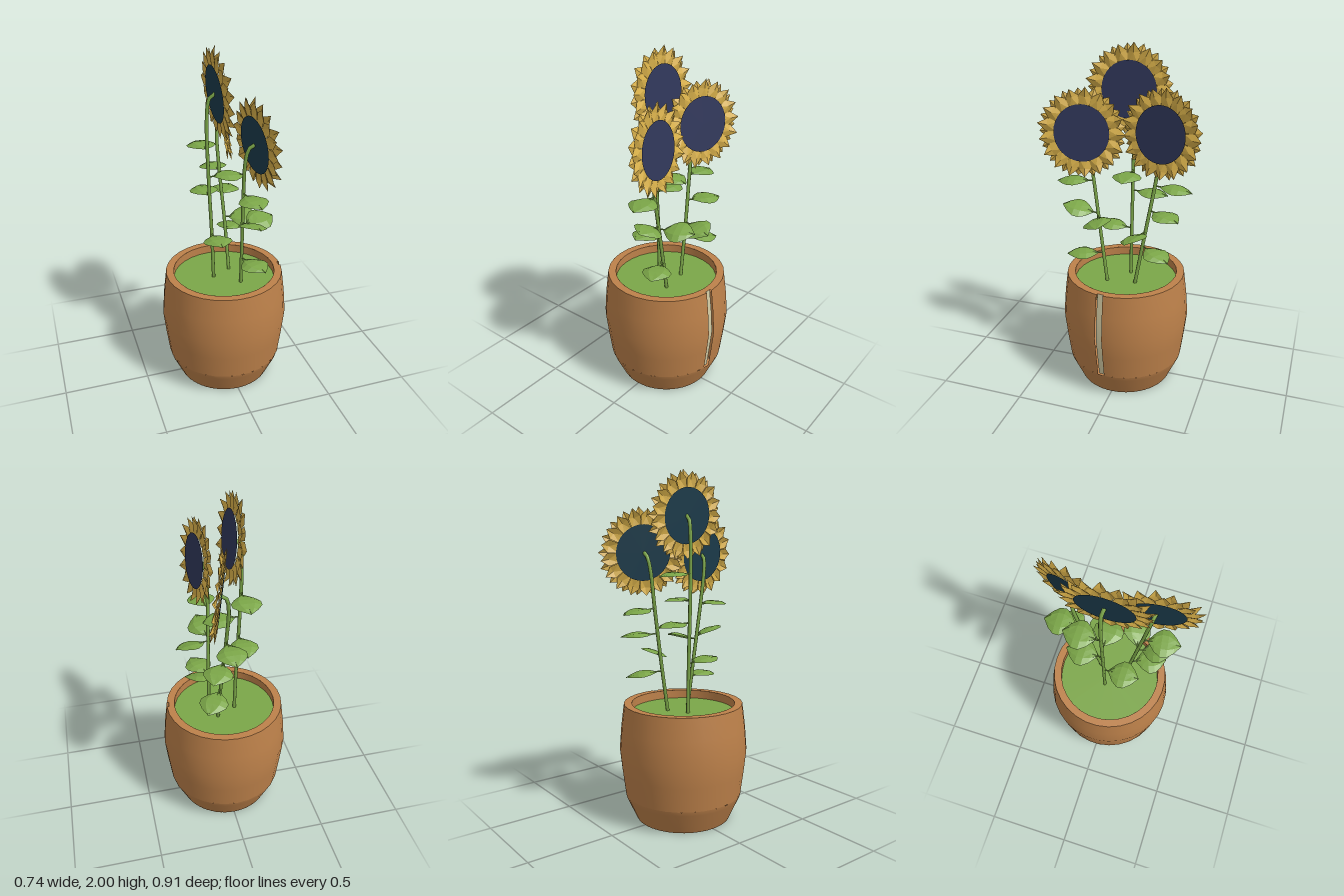
import * as THREE from 'three';

const mat = (name, color, side = THREE.FrontSide) => {
  const m = new THREE.MeshStandardMaterial({ color, side });
  m.name = name;
  return m;
};
const D = THREE.DoubleSide;
const clay = mat('clay', 0xbd814a, D);
const green = mat('leaf green', 0x7ba648, D);
const yellow = mat('petal yellow', 0xd8b04a, D);
const navy = mat('seed navy', 0x30375a);
const teal = mat('flower back teal', 0x1c3c4c);
const cream = mat('crack cream', 0xd2cba4, D);

function add(parent, geo, material, name) {
  const m = new THREE.Mesh(geo, material);
  m.name = name;
  parent.add(m);
  return m;
}

// surface from a grid of points with flat facets
function grid(rows) {
  const pos = [];
  for (let i = 0; i < rows.length - 1; i++)
    for (let j = 0; j < rows[i].length - 1; j++) {
      const a = rows[i][j], b = rows[i][j + 1], c = rows[i + 1][j + 1], d = rows[i + 1][j];
      pos.push(...a, ...c, ...b, ...a, ...d, ...c);
    }
  const g = new THREE.BufferGeometry();
  g.setAttribute('position', new THREE.Float32BufferAttribute(pos, 3));
  g.computeVertexNormals();
  return g;
}

// arched pointed leaf growing along +x
function leafGeometry() {
  const widths = [0.008, 0.055, 0.082, 0.08, 0.05, 0.003];
  return grid(widths.map((w, i) => {
    const t = i / 5;
    return [-1, -0.5, 0, 0.5, 1].map((s) => [
      0.03 + 0.18 * t,
      0.022 * Math.sin(Math.PI * t) - 0.012 * t - 0.022 * s * s * (w / 0.08) - (s === 0 ? 0.005 : 0),
      -s * w,
    ]);
  }));
}

// folded pointed petals in two staggered layers, facing +z
function petalGeometry() {
  const all = [];
  const n = 17;
  for (let layer = 0; layer < 2; layer++)
    for (let k = 0; k < n; k++) {
      const a = ((k + layer * 0.5) / n) * Math.PI * 2;
      const reach = 0.249 - 0.008 * ((k * 7 + layer * 3) % 4) / 3;
      const z = layer ? -0.008 : 0.004;
      const lift = (layer ? -0.004 : 0.012) + 0.004 * ((k * 5) % 3);
      const p = (r, t, h) => [r * Math.cos(a) - t * Math.sin(a), r * Math.sin(a) + t * Math.cos(a), h];
      const base = p(0.135, 0, z), mid = p(0.195, 0, z + 0.01), tip = p(reach, 0, z + lift);
      for (const s of [-1, 1]) {
        const inner = p(0.14, s * 0.026, z), side = p(0.2, s * 0.035, z - 0.003);
        const tris = [[base, inner, mid], [inner, side, mid], [mid, side, tip]];
        for (const [u, v, w] of tris) all.push(...(s < 0 ? [...u, ...v, ...w] : [...u, ...w, ...v]));
      }
    }
  const g = new THREE.BufferGeometry();
  g.setAttribute('position', new THREE.Float32BufferAttribute(all, 3));
  g.computeVertexNormals();
  return g;
}

function makePot() {
  const pot = new THREE.Group();
  pot.name = 'pot';
  const lathe = (pts, material, name, start = 0, len = Math.PI * 2, seg = 30) =>
    add(pot, new THREE.LatheGeometry(pts.map(([r, y]) => new THREE.Vector2(r, y)), seg, start, len), material, name);

  // wall, with a narrow slot in the upper part on the +x side
  const mid = Math.PI / 2 - 0.125, gap = 0.11;
  const wall = [[0.342, 0.15], [0.36, 0.29], [0.373, 0.41], [0.362, 0.55], [0.345, 0.685]];
  lathe([[0.278, 0], [0.335, 0.125], [0.342, 0.15]], clay, 'lowerWall');
  lathe(wall, clay, 'upperWall', mid + gap / 2, Math.PI * 2 - gap);
  lathe(wall.map(([r, y]) => [r - 0.012, y]), cream, 'crack', mid - gap / 2, gap, 2);
  lathe([[0.345, 0.685], [0.3, 0.685]], clay, 'rim', mid + gap / 2, Math.PI * 2 - gap);
  lathe([[0.333, 0.685], [0.3, 0.685]], clay, 'rimBehindCrack', mid - gap / 2, gap, 2);
  lathe([[0.3, 0.685], [0.3, 0.62]], clay, 'innerWall');

  add(pot, new THREE.CircleGeometry(0.278, 30), clay, 'potBase').rotation.x = Math.PI / 2;
  const soil = add(pot, new THREE.CircleGeometry(0.302, 30), green, 'plantedSurface');
  soil.rotation.x = -Math.PI / 2;
  soil.position.y = 0.635;
  return pot;
}

const leafGeo = leafGeometry();
const petalGeo = petalGeometry();

function makeFlower({ path, head, turn, leaves }) {
  const flower = new THREE.Group();
  flower.name = 'flower';

  // stem, hooked forward into the back of the head
  const curve = new THREE.CatmullRomCurve3(path.map((p) => new THREE.Vector3(...p)));
  add(flower, new THREE.TubeGeometry(curve, 28, 0.0105, 8), green, 'stem');

  // leaves: [height, heading from +x towards -z in degrees, upward slope, roll]
  for (const [y, heading, slope, roll] of leaves) {
    let t = 0;
    while (t < 1 && curve.getPoint(t).y < y) t += 0.005;
    const leaf = new THREE.Group();
    leaf.name = 'leaf';
    leaf.position.copy(curve.getPoint(Math.min(t, 1)));
    leaf.rotation.set(roll, THREE.MathUtils.degToRad(heading), slope, 'YZX');
    add(leaf, leafGeo, green, 'leafBlade');
    const stalk = add(leaf, new THREE.CylinderGeometry(0.004, 0.005, 0.045, 5), green, 'leafStalk');
    stalk.rotation.z = -Math.PI / 2;
    stalk.position.x = 0.02;
    flower.add(leaf);
  }

  // head, turned to +x and leaning back a little
  const top = new THREE.Group();
  top.name = 'flowerHead';
  top.position.set(...head);
  top.rotation.set(-0.1, Math.PI / 2 + turn, 0, 'YXZ');
  add(top, petalGeo, yellow, 'petals');
  add(top, new THREE.CircleGeometry(0.155, 32), navy, 'seedDisc').position.z = 0.014;
  const back = add(top, new THREE.CircleGeometry(0.155, 32), teal, 'discBack');
  back.rotation.y = Math.PI;
  back.position.z = -0.013;
  flower.add(top);
  return flower;
}

export function createModel() {
  const model = new THREE.Group();
  model.name = 'pottedFlowers';
  model.add(makePot());

  const flowers = [
    {
      path: [[-0.06, 0.62, -0.012], [-0.07, 0.95, -0.014], [-0.085, 1.3, -0.016], [-0.09, 1.62, -0.018], [-0.075, 1.73, -0.016], [-0.045, 1.752, -0.01]],
      head: [-0.037, 1.75, -0.008], turn: 0,
      leaves: [[1.43, 90, 0, 0], [1.28, 0, 0, 0], [1.16, 90, 0, 0], [0.92, -90, 0.15, 0]],
    },
    {
      path: [[0.075, 0.62, 0.09], [0.065, 0.95, 0.133], [0.055, 1.25, 0.172], [0.055, 1.44, 0.197], [0.07, 1.51, 0.208], [0.1, 1.53, 0.215]],
      head: [0.107, 1.53, 0.216], turn: 0.12,
      leaves: [[1.24, -82, 0.02, 0], [1.05, -80, 0.28, -0.25], [1.03, 15, 0.1, 0.3], [0.81, -70, 0.05, 0]],
    },
    {
      path: [[0.055, 0.62, -0.07], [0.045, 0.95, -0.127], [0.03, 1.25, -0.178], [0.025, 1.46, -0.208], [0.04, 1.53, -0.218], [0.068, 1.55, -0.218]],
      head: [0.078, 1.55, -0.22], turn: -0.31,
      leaves: [[1.24, 92, -0.05, 0], [1.09, 62, 0, 0], [0.96, -18, 0.05, 0.35], [0.87, 58, -0.1, 0]],
    },
  ];
  for (const f of flowers) model.add(makeFlower(f));
  return model;
}
